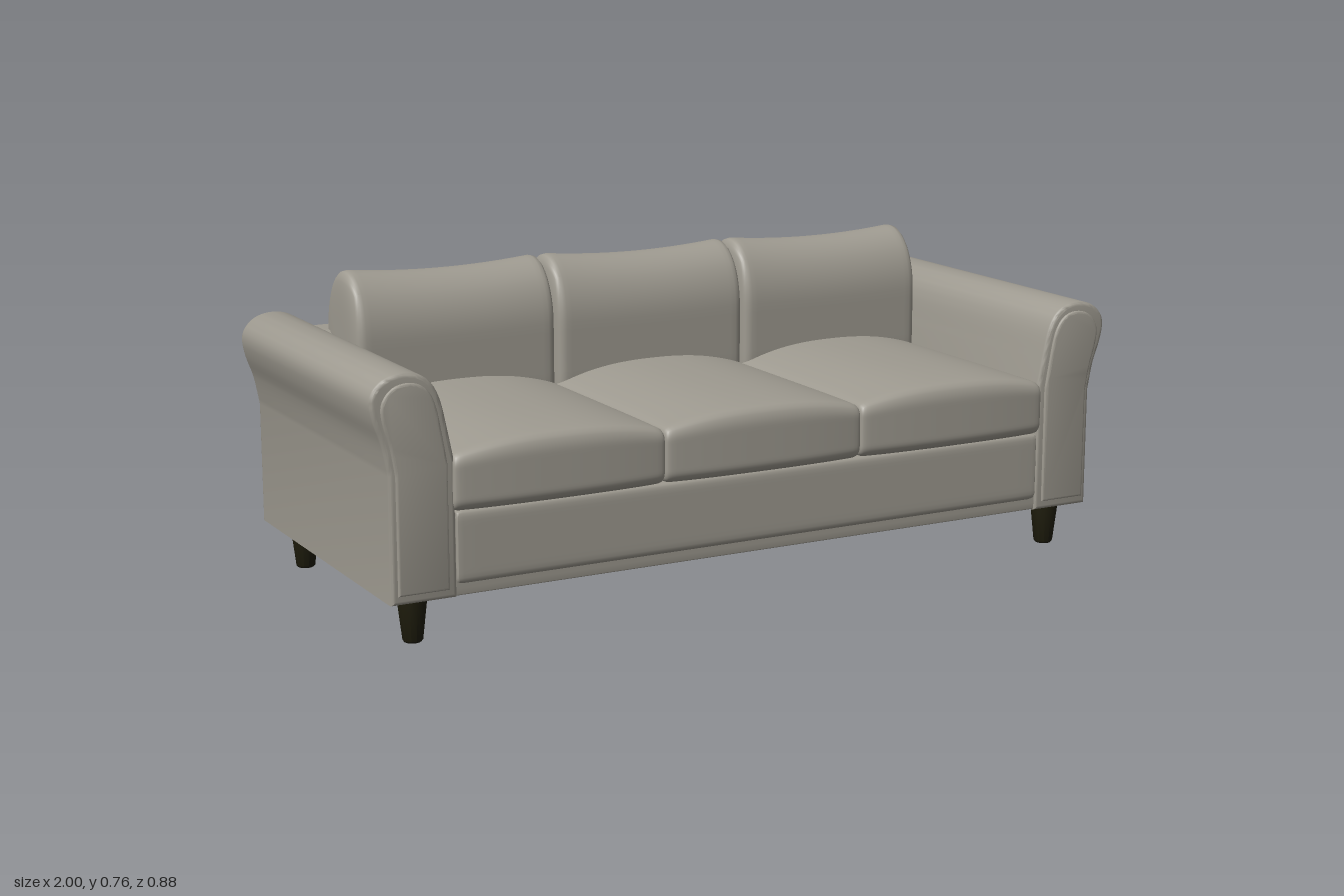
import * as THREE from 'three';
import { mergeVertices, toCreasedNormals } from 'three/addons/utils/BufferGeometryUtils.js';

const fabric = new THREE.MeshStandardMaterial({ color: 0x9e9a90 });
fabric.name = 'greyFabric';
const wood = new THREE.MeshStandardMaterial({ color: 0x1e1c0c });
wood.name = 'darkWood';

// Soft block between two corners, with its own edge radius per axis and an optional bulge rule
function softBlock(min, max, radius, bulge, seg = 28) {
  const lo = new THREE.Vector3(...min), hi = new THREE.Vector3(...max), r = new THREE.Vector3(...radius);
  const half = hi.clone().sub(lo).multiplyScalar(0.5);
  const mid = hi.clone().add(lo).multiplyScalar(0.5);
  const inner = half.clone().sub(r);
  const geo = new THREE.BoxGeometry(2, 2, 2, seg, seg, seg);
  geo.deleteAttribute('uv');
  geo.deleteAttribute('normal');
  const pos = geo.attributes.position;
  const p = new THREE.Vector3();
  for (let i = 0; i < pos.count; i++) {
    p.fromBufferAttribute(pos, i);
    // Gather grid lines near the edges, where the rounding is
    p.set(Math.sin(p.x * Math.PI / 2), Math.sin(p.y * Math.PI / 2), Math.sin(p.z * Math.PI / 2)).multiply(half);
    const q = p.clone().clamp(inner.clone().negate(), inner);
    const d = p.clone().sub(q).divide(r);
    const n = Math.pow(d.x ** 4 + (d.y ** 2 + d.z ** 2) ** 2, 0.25);
    if (n > 1e-6) p.copy(d).divideScalar(n).multiply(r).add(q);
    if (bulge) bulge(p, p.x / half.x, p.y / half.y, p.z / half.z);
    p.add(mid);
    pos.setXYZ(i, p.x, p.y, p.z);
  }
  const smooth = mergeVertices(geo, 1e-5);
  smooth.computeVertexNormals();
  return smooth;
}

// Rolled arm outline, shrunk towards its middle by inset
function armShape(side, inset) {
  const roll = new THREE.SplineCurve([
    [0.96, 0.41], [0.974, 0.48], [0.993, 0.535], [1.0, 0.58], [0.988, 0.61], [0.96, 0.632],
    [0.92, 0.64], [0.88, 0.633], [0.85, 0.61], [0.83, 0.57], [0.814, 0.5], [0.80, 0.43],
  ].map(([x, y]) => new THREE.Vector2(x, y))).getPoints(44);
  const points = [new THREE.Vector2(0.80, 0.11), new THREE.Vector2(0.96, 0.11), ...roll];
  const kx = 1 - inset / 0.1, ky = 1 - inset / 0.265;
  return new THREE.Shape(points.map(p => new THREE.Vector2(
    side * (0.89 + (p.x - 0.89) * kx), 0.375 + (p.y - 0.375) * ky)));
}

function armSlab(side, inset, z0, z1, bevel) {
  const geo = new THREE.ExtrudeGeometry(armShape(side, inset), {
    depth: z1 - z0 - 2 * bevel, bevelEnabled: true, bevelThickness: bevel,
    bevelSize: bevel, bevelOffset: -bevel, bevelSegments: 3,
  });
  geo.translate(0, 0, z0 + bevel);
  return toCreasedNormals(geo, 0.6);
}

export function createModel() {
  const sofa = new THREE.Group();
  sofa.name = 'sofa';
  const add = (name, geo, material = fabric) => {
    const mesh = new THREE.Mesh(geo, material);
    mesh.name = name;
    sofa.add(mesh);
    return mesh;
  };

  // Frame: base, padded front rail and back rest
  add('base', softBlock([-0.84, 0.11, -0.43], [0.84, 0.31, 0.41], [0.008, 0.008, 0.008], null, 10));
  add('frontRail', softBlock([-0.80, 0.14, 0.36], [0.80, 0.312, 0.42], [0.02, 0.02, 0.012], null, 16));
  add('backFrame', softBlock([-0.87, 0.11, -0.44], [0.87, 0.60, -0.31], [0.01, 0.03, 0.03], null, 16));

  // Rolled arms with a raised front panel
  for (const side of [1, -1]) {
    const label = side > 0 ? 'left' : 'right';
    add(label + 'Arm', armSlab(side, 0, -0.44, 0.416, 0.01));
    add(label + 'ArmPanel', armSlab(side, 0.022, 0.40, 0.423, 0.006));
  }

  // Three seat cushions and three back cushions
  for (const i of [-1, 0, 1]) {
    const x0 = i * 0.538 - 0.27, x1 = i * 0.538 + 0.27;
    add('seatCushion', softBlock([x0, 0.31, -0.28], [x1, 0.442, 0.426], [0.03, 0.03, 0.025], (p, u, v, w) => {
      const across = 1 - Math.abs(u) ** 2.4;
      if (v > 0) p.y += 0.043 * v * across * (1 - 0.4 * Math.max(w, 0) ** 4);
      if (w > 0) p.z += 0.012 * w * across;
    }));
    add('backCushion', softBlock([x0, 0.30, -0.37], [x1, 0.745, -0.15], [0.035, 0.155, 0.109], (p, u, v) => {
      // Ears near the top corners, a shallow dip between them
      if (v > 0) p.y += 0.016 * v * u * u;
    }));
  }

  // Tapered legs
  for (const x of [-0.883, 0.883]) {
    for (const z of [-0.35, 0.345]) {
      const profile = [[0, 0], [0.02, 0], [0.024, 0.005], [0.035, 0.1], [0.035, 0.115], [0, 0.115]]
        .map(([r, y]) => new THREE.Vector2(r, y));
      const leg = add('leg', toCreasedNormals(new THREE.LatheGeometry(profile, 12), 0.6), wood);
      leg.position.set(x, 0, z);
    }
  }
  return sofa;
}
